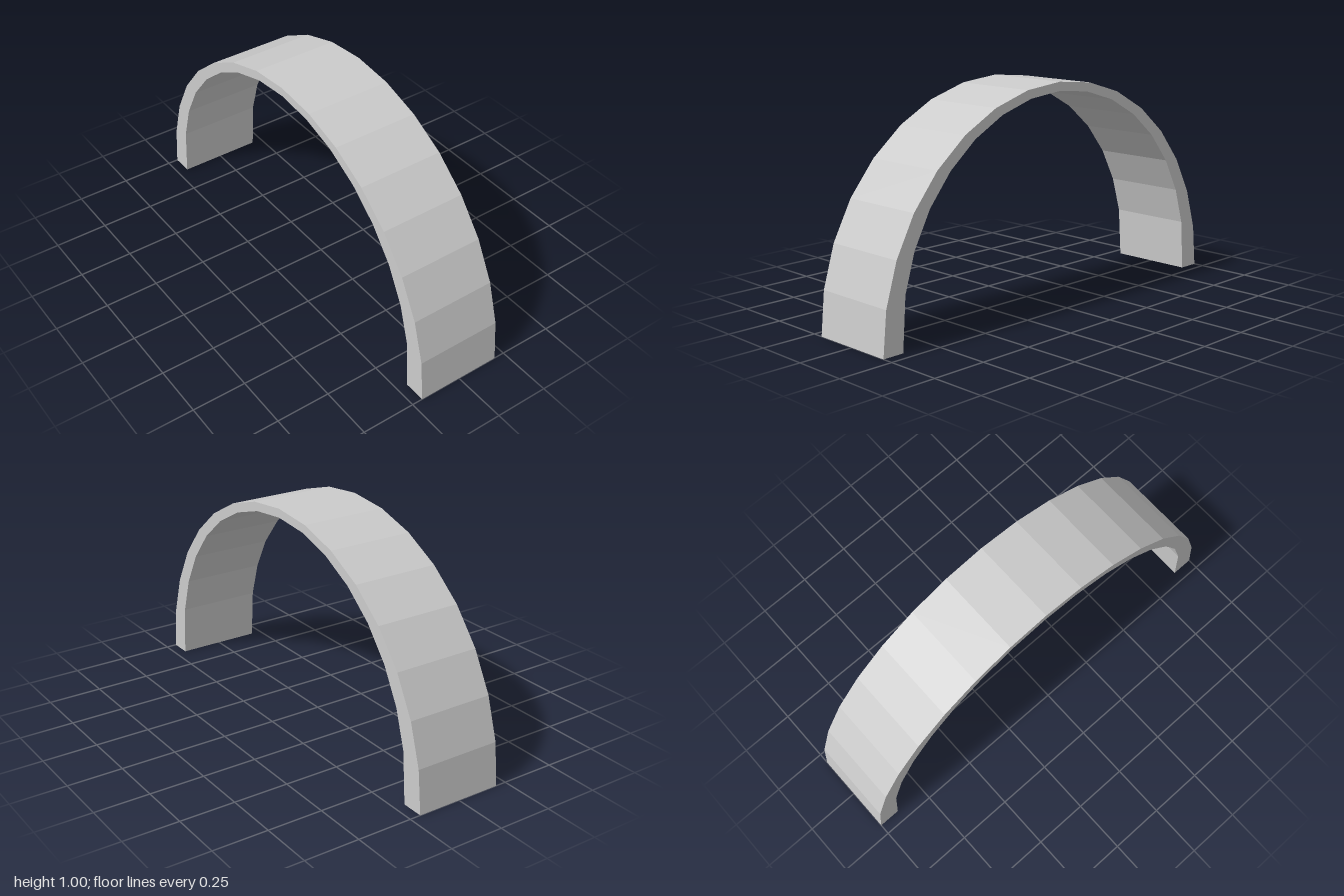
import * as THREE from 'three';

const SEGMENTS = 16;
const WIDTH = 0.4;

// Points of a faceted half circle in the profile plane, from +x over the top to -x
function halfCircle(radius, centreY) {
  const points = [];
  for (let i = 0; i <= SEGMENTS; i++) {
    const a = (i / SEGMENTS) * Math.PI;
    const atFoot = i === 0 || i === SEGMENTS;
    points.push(new THREE.Vector2(
      Math.cos(a) * radius,
      atFoot ? 0 : centreY + Math.sin(a) * radius // feet rest on the ground
    ));
  }
  return points;
}

export function createModel() {
  const group = new THREE.Group();
  group.name = 'archModel';

  // Raised inner curve makes the band thin at the crown and thick at the feet
  const outer = halfCircle(1, 0);
  const inner = halfCircle(0.9, 0.06).reverse();
  const profile = new THREE.Shape([...outer, ...inner]);

  // Extrude across the width, then turn the profile into the z-y plane
  const geometry = new THREE.ExtrudeGeometry(profile, { depth: WIDTH, bevelEnabled: false });
  geometry.translate(0, 0, -WIDTH / 2);
  geometry.rotateY(Math.PI / 2);

  const material = new THREE.MeshStandardMaterial({ color: 0xcccccc, flatShading: true });
  const arch = new THREE.Mesh(geometry, material);
  arch.name = 'archBand';
  group.add(arch);
  return group;
}
